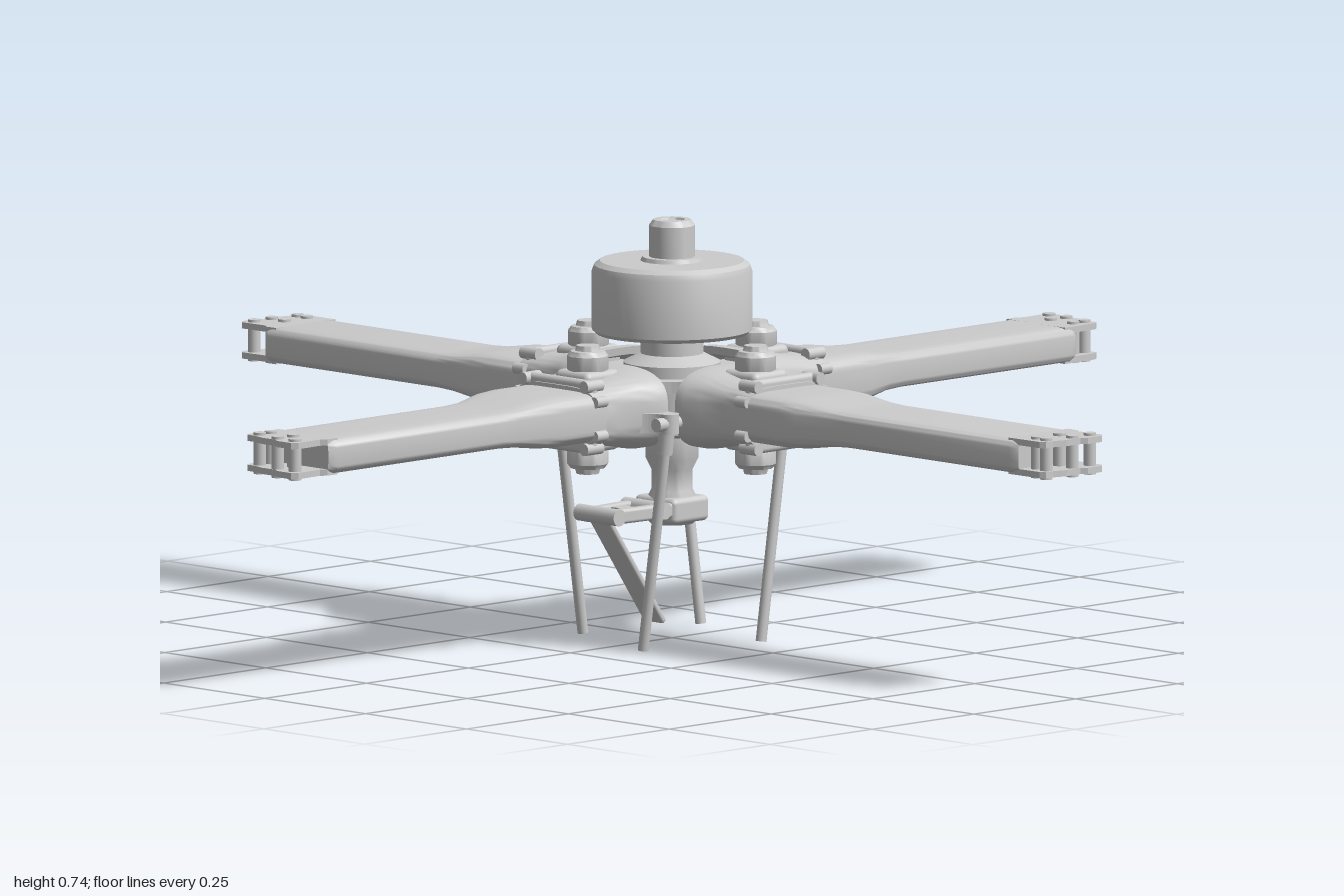
import * as THREE from 'three';
import { toCreasedNormals } from 'three/addons/utils/BufferGeometryUtils.js';
import { RoundedBoxGeometry } from 'three/addons/geometries/RoundedBoxGeometry.js';

const grey = new THREE.MeshStandardMaterial({ color: 0xcccccc });
const Y = 0.427; // height of the blade plane

function add(parent, name, geometry, x = 0, y = 0, z = 0) {
  const mesh = new THREE.Mesh(geometry, grey);
  mesh.name = name;
  mesh.position.set(x, y, z);
  parent.add(mesh);
  return mesh;
}

// Skin over rounded sections [x, centreZ, halfWidth, halfHeight, squareness]
function loft(sections, n = 48) {
  const pos = [], index = [];
  const power = (v, e) => Math.sign(v) * Math.abs(v) ** e;
  for (const [x, cz, hz, hy, k] of sections) {
    for (let j = 0; j < n; j++) {
      const a = (j / n) * Math.PI * 2;
      pos.push(x, hy * power(Math.sin(a), 2 / k), cz + hz * power(Math.cos(a), 2 / k));
    }
  }
  const last = (sections.length - 1) * n;
  for (let i = 0; i < last; i += n) {
    for (let j = 0; j < n; j++) {
      const m = (j + 1) % n;
      index.push(i + j, i + n + j, i + m, i + m, i + n + j, i + n + m);
    }
  }
  for (let j = 1; j < n - 1; j++) {
    index.push(0, j, j + 1, last, last + j + 1, last + j);
  }
  const g = new THREE.BufferGeometry();
  g.setAttribute('position', new THREE.Float32BufferAttribute(pos, 3));
  g.setIndex(index);
  return toCreasedNormals(g, 0.7);
}

// Turned part from [radius, height] points
function turned(points, sides = 32) {
  const g = new THREE.LatheGeometry(points.map(([r, y]) => new THREE.Vector2(r, y)), sides);
  return toCreasedNormals(g, 0.6);
}

// Round bar between two points
function bar(parent, name, a, b, radius, sides = 16) {
  const from = new THREE.Vector3(...a), to = new THREE.Vector3(...b);
  const dir = to.clone().sub(from);
  const mesh = add(parent, name, new THREE.CylinderGeometry(radius, radius, dir.length(), sides));
  mesh.position.copy(from).add(to).multiplyScalar(0.5);
  mesh.quaternion.setFromUnitVectors(new THREE.Vector3(0, 1, 0), dir.normalize());
  return mesh;
}

// Flat horizontal plate from a shape drawn in x and z
function plate(shape, thickness) {
  const g = new THREE.ExtrudeGeometry(shape, { depth: thickness, bevelEnabled: false, curveSegments: 12 });
  return g.rotateX(Math.PI / 2).translate(0, thickness / 2, 0);
}

function makeBlade() {
  const blade = new THREE.Group();
  blade.name = 'blade';
  add(blade, 'bladeSpar', loft([
    [0.26, 0, 0.1, 0.045, 5], [0.36, 0, 0.1, 0.045, 5], [0.4, -0.002, 0.097, 0.043, 5],
    [0.46, -0.008, 0.084, 0.034, 6], [0.5, -0.008, 0.082, 0.032, 6],
    [0.91, -0.008, 0.082, 0.032, 6], [0.925, -0.008, 0.074, 0.03, 6],
  ]), 0, Y);

  // Forked tip: two drilled-looking plates joined by bolts
  const tip = new THREE.Shape();
  [[0.9, -0.08], [0.925, -0.08], [0.935, -0.072], [0.99, -0.074], [1, -0.065], [1, -0.03], [0.992, -0.02],
    [0.992, 0.015], [0.985, 0.04], [0.985, 0.058], [0.975, 0.064], [0.9, 0.066]]
    .forEach(([x, z], i) => (i ? tip.lineTo(x, z) : tip.moveTo(x, z)));
  for (const s of [-1, 1]) add(blade, 'tipPlate', plate(tip, 0.011), 0, Y + s * 0.0265);
  for (const [x, z] of [[0.945, -0.015], [0.945, 0.04], [0.98, -0.055], [0.98, -0.012], [0.97, 0.042]]) {
    add(blade, 'tipBolt', new THREE.CylinderGeometry(0.011, 0.011, 0.073, 16), x, Y, z);
  }
  return blade;
}

function makeGrip() {
  const grip = new THREE.Group();
  grip.name = 'grip';
  // Cuff, open towards the hub
  add(grip, 'gripCuff', loft([
    [0.25, 0, 0.075, 0.04, 3], [0.16, 0, 0.09, 0.05, 3], [0.132, 0, 0.105, 0.058, 3],
    [0.13, 0, 0.122, 0.072, 3], [0.15, 0, 0.122, 0.072, 3], [0.18, 0, 0.109, 0.066, 3.5],
    [0.225, 0, 0.101, 0.057, 4], [0.25, 0, 0.1, 0.056, 4], [0.285, 0, 0.1, 0.052, 4],
  ]), 0, Y);

  // Bolted flange where the blade root enters
  add(grip, 'gripFlange', new RoundedBoxGeometry(0.02, 0.13, 0.17, 3, 0.009), 0.272, Y);
  for (const sy of [-1, 1]) for (const sz of [-1, 1]) {
    bar(grip, 'flangeBolt', [0.252, Y + sy * 0.055, sz * 0.076], [0.292, Y + sy * 0.055, sz * 0.076], 0.011);
    bar(grip, 'sideBolt', [0.262, Y + sy * 0.03, sz * 0.098], [0.288, Y + sy * 0.03, sz * 0.098], 0.01);
  }

  // Vertical retention pin through a square boss
  add(grip, 'pinBoss', new RoundedBoxGeometry(0.085, 0.142, 0.085, 3, 0.012), 0.207, Y);
  const head = [[0, 0.113], [0.02, 0.113], [0.022, 0.104], [0.03, 0.103], [0.036, 0.095], [0.036, 0.07], [0.03, 0.06]];
  add(grip, 'retentionPin', turned([...head.map(([r, y]) => [r, -y]), ...head.reverse()]), 0.207, Y);

  // Arm from the cuff out to the pitch link
  const horn = new THREE.Shape();
  horn.moveTo(0.13, -0.06);
  horn.lineTo(0.13, -0.14);
  horn.absarc(0.145, -0.14, 0.017, Math.PI, Math.PI * 2, false);
  horn.quadraticCurveTo(0.165, -0.115, 0.2, -0.095);
  horn.lineTo(0.2, -0.06);
  add(grip, 'pitchHorn', plate(horn, 0.035), 0, 0.41);
  bar(grip, 'hornBolt', [0.125, 0.41, -0.14], [0.178, 0.41, -0.14], 0.012);
  return grip;
}

function makePitchLink() {
  const link = new THREE.Group();
  link.name = 'pitchLink';
  bar(link, 'linkRod', [0.145, 0.37, -0.13], [0.145, 0.003, -0.075], 0.0095);
  bar(link, 'linkSleeve', [0.145, 0.42, -0.137], [0.145, 0.355, -0.128], 0.014);
  return link;
}

function makeHub() {
  const hub = new THREE.Group();
  hub.name = 'hub';
  // Domed cover and mast nut
  add(hub, 'hubCap', turned([[0, 0.54], [0.132, 0.54], [0.14, 0.547], [0.14, 0.65], [0.136, 0.661],
    [0.126, 0.668], [0.055, 0.668], [0.052, 0.675], [0, 0.675]], 48));
  add(hub, 'mastNut', turned([[0.04, 0.66], [0.04, 0.73], [0.033, 0.74], [0.022, 0.74], [0.02, 0.736], [0, 0.736]]));

  // Mast and lower shaft
  add(hub, 'mast', turned([[0, 0.205], [0.038, 0.205], [0.046, 0.213], [0.046, 0.245], [0.036, 0.265], [0.036, 0.3],
    [0.046, 0.32], [0.046, 0.36], [0.085, 0.37], [0.085, 0.49], [0.055, 0.505], [0.055, 0.545]]));

  // Four-pointed hub plates
  const star = new THREE.Shape();
  const R = 0.2, w = 0.045;
  star.moveTo(R, -w);
  for (let i = 0; i < 4; i++) {
    const c = Math.round(Math.cos(i * Math.PI / 2)), s = Math.round(Math.sin(i * Math.PI / 2));
    const turn = (x, z) => [x * c - z * s, x * s + z * c];
    star.lineTo(...turn(R, w));
    star.lineTo(...turn(0.14, w));
    star.quadraticCurveTo(...turn(0.07, 0.07), ...turn(w, 0.14));
    star.lineTo(...turn(w, R));
  }
  for (const s of [-1, 1]) add(hub, 'hubPlate', plate(star, 0.022), 0, Y + s * 0.032);
  return hub;
}

// Folding torque link hung on the -x side of the shaft
function makeScissor() {
  const scissor = new THREE.Group();
  scissor.name = 'scissorLink';
  add(scissor, 'shaftClamp', new RoundedBoxGeometry(0.09, 0.045, 0.1, 3, 0.01), 0, 0.232);
  for (const s of [-1, 1]) {
    const arm = add(scissor, 'upperArm', new RoundedBoxGeometry(0.15, 0.026, 0.02, 3, 0.006), -0.11, 0.235, s * 0.03);
    arm.rotation.y = s * -0.08;
  }
  add(scissor, 'armWeb', new THREE.BoxGeometry(0.03, 0.018, 0.06), -0.115, 0.235);
  for (const x of [-0.065, -0.178]) {
    bar(scissor, 'hingePin', [x, 0.237, -0.05], [x, 0.237, 0.05], 0.015);
  }
  const lower = add(scissor, 'lowerArm', new RoundedBoxGeometry(0.25, 0.012, 0.05, 2, 0.005), -0.112, 0.138);
  lower.rotation.z = Math.atan2(-0.2, 0.14);
  return scissor;
}

export function createModel() {
  const model = new THREE.Group();
  model.name = 'rotorHead';
  model.add(makeHub(), makeScissor());
  for (let i = 0; i < 4; i++) {
    const arm = new THREE.Group();
    arm.name = 'rotorArm';
    arm.add(makeBlade(), makeGrip(), makePitchLink());
    bar(arm, 'rootBearing', [0.07, Y, 0], [0.25, Y, 0], 0.036, 24);
    arm.rotation.y = (i * Math.PI) / 2;
    model.add(arm);
  }
  return model;
}
